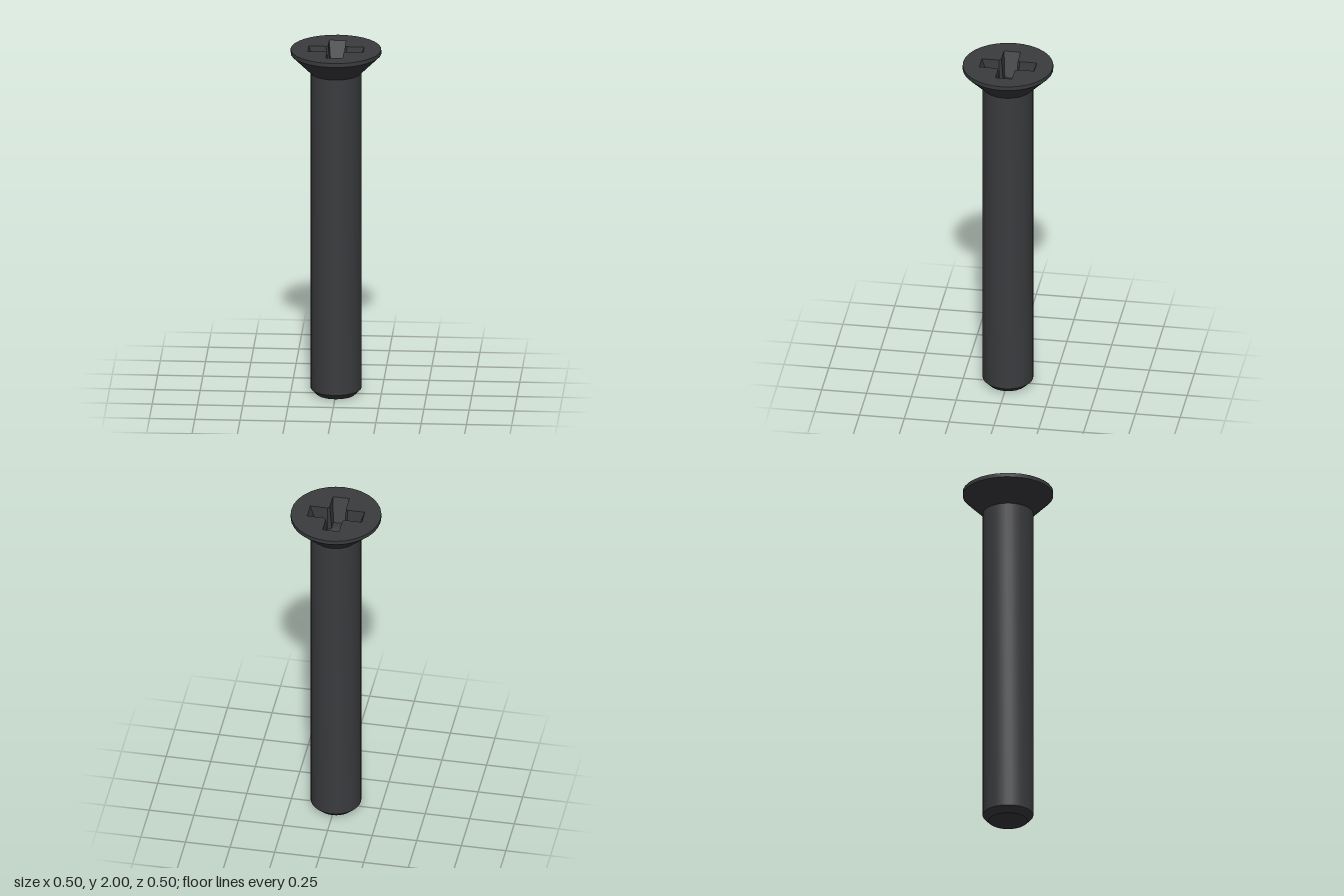
import * as THREE from 'three';
import { toCreasedNormals } from 'three/addons/utils/BufferGeometryUtils.js';

const SIDES = 32;
const TOP = 2;
const FLOOR = 1.86;

const lathe = (profile) => toCreasedNormals(
  new THREE.LatheGeometry(profile.map(([r, y]) => new THREE.Vector2(r, y)), SIDES), 0.4);

const ring = (radius) => Array.from({ length: SIDES }, (_, i) => {
  const a = (i / SIDES) * Math.PI * 2;
  return new THREE.Vector2(Math.cos(a) * radius, Math.sin(a) * radius);
});

// Counter-clockwise cross outline with chamfered inner corners
function crossOutline(reach, half, corner) {
  const points = [];
  for (let i = 0; i < 4; i++) {
    for (const [x, y] of [[corner, -half], [reach, -half], [reach, half], [corner, half]]) {
      points.push(new THREE.Vector2(x, y).rotateAround(new THREE.Vector2(), i * Math.PI / 2));
    }
  }
  return points;
}

// Flat horizontal face with a hole, facing up
function flatFace(outline, hole, y) {
  const shape = new THREE.Shape(outline);
  shape.holes.push(new THREE.Path(hole));
  return new THREE.ShapeGeometry(shape).rotateX(-Math.PI / 2).translate(0, y, 0);
}

// Tapering walls between two outlines, facing inwards
function recessWalls(upper, lower) {
  const positions = [];
  const add = (p, y) => positions.push(p.x, y, -p.y);
  upper.forEach((a, i) => {
    const j = (i + 1) % upper.length;
    add(a, TOP); add(upper[j], TOP); add(lower[i], FLOOR);
    add(upper[j], TOP); add(lower[j], FLOOR); add(lower[i], FLOOR);
  });
  const geometry = new THREE.BufferGeometry();
  geometry.setAttribute('position', new THREE.Float32BufferAttribute(positions, 3));
  geometry.computeVertexNormals();
  return geometry;
}

export function createModel() {
  const model = new THREE.Group();
  model.name = 'countersunkScrew';
  const material = new THREE.MeshStandardMaterial({ color: 0x3a3b3e });
  const part = (name, geometry) => {
    const mesh = new THREE.Mesh(geometry, material);
    mesh.name = name;
    model.add(mesh);
  };

  // Shank with chamfered tip, and countersunk head
  part('shank', lathe([[0, 0], [0.107, 0], [0.14, 0.033], [0.14, 1.867]]));
  part('headSide', lathe([[0.14, 1.867], [0.25, 1.977], [0.25, TOP]]));

  // Head face with the tapered cross recess
  const upper = crossOutline(0.153, 0.046, 0.057);
  const lower = crossOutline(0.104, 0.034, 0.053);
  part('headFace', flatFace(ring(0.25), upper, TOP));
  part('recessWalls', recessWalls(upper, lower));
  part('recessFloor', flatFace(lower, ring(0.061), FLOOR));
  part('recessCone', lathe([[0.061, FLOOR], [0, FLOOR - 0.02]]));

  return model;
}
